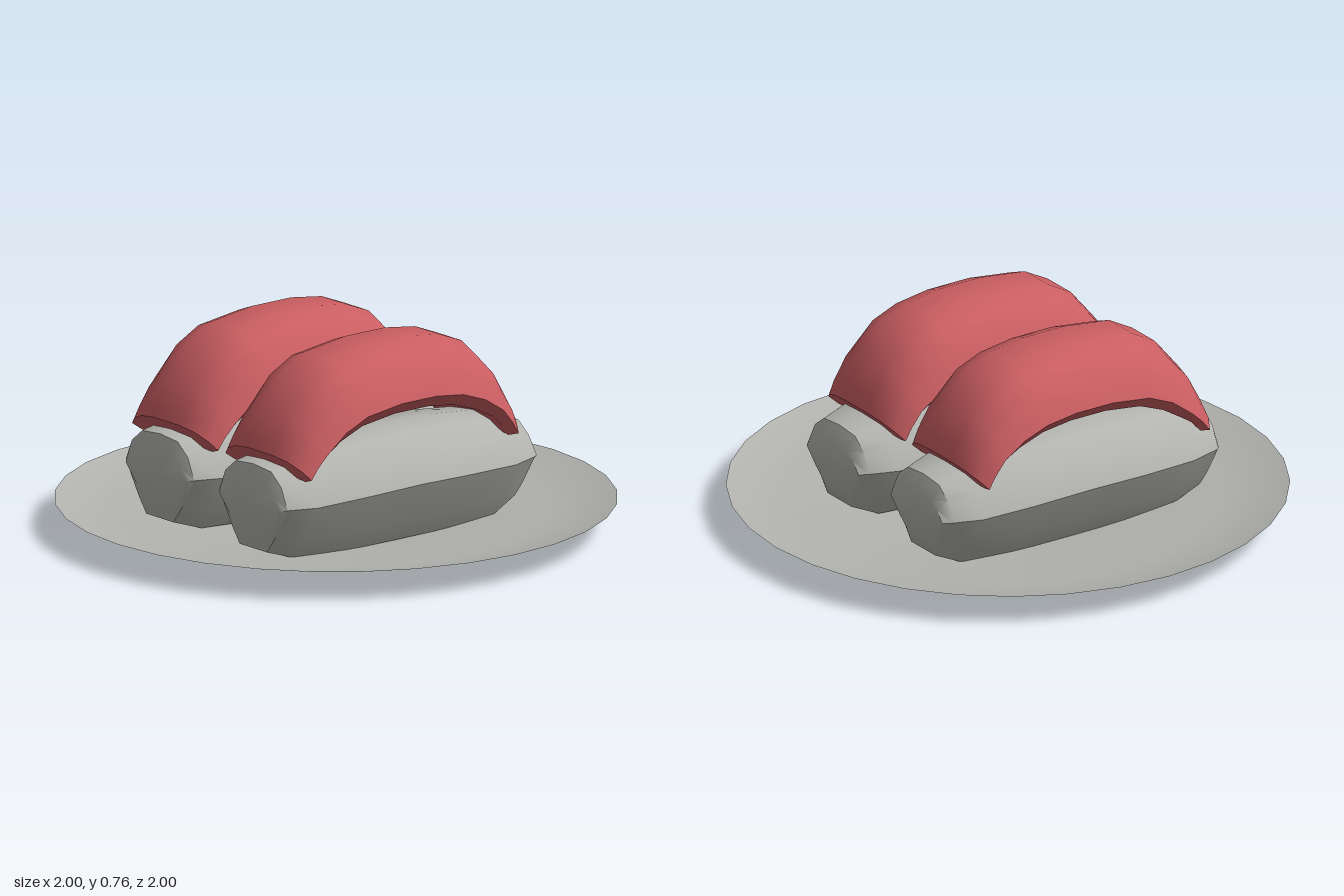
import * as THREE from 'three';
import { toCreasedNormals } from 'three/addons/utils/BufferGeometryUtils.js';

const riceWhite = new THREE.MeshStandardMaterial({ color: 0xb4b4b0 });
const plateGrey = new THREE.MeshStandardMaterial({ color: 0xb2b2af, side: THREE.DoubleSide });
const fishRed = new THREE.MeshStandardMaterial({ color: 0xca5e62 });

// Skin a list of rings (front to back, each anticlockwise seen from +z) and cap both ends
function loft(rings, crease) {
  const n = rings[0].length;
  const points = rings.flat();
  const index = [];
  for (let i = 0; i < rings.length - 1; i++) {
    for (let j = 0; j < n; j++) {
      const a = i * n + j, b = i * n + (j + 1) % n;
      index.push(a, a + n, b, b, a + n, b + n);
    }
  }
  [0, rings.length - 1].forEach((r, end) => {
    const centre = new THREE.Vector3();
    rings[r].forEach((p) => centre.addScaledVector(p, 1 / n));
    const c = points.push(centre) - 1;
    for (let j = 0; j < n; j++) {
      const a = r * n + j, b = r * n + (j + 1) % n;
      if (end === 0) index.push(c, a, b);
      else index.push(c, b, a);
    }
  });
  const geometry = new THREE.BufferGeometry().setFromPoints(points);
  geometry.setIndex(index);
  return toCreasedNormals(geometry, crease);
}

// Mirror the right half of a section into a full ring, bottom to top to bottom
const mirrored = (half) => [...half, ...half.map(([x, t]) => [-x, t]).reverse()];

// Rice block: z, half width, bottom, top
function riceGeometry() {
  const section = mirrored([[0.4, 0], [0.64, 0.2], [1, 0.57], [0.82, 0.82], [0.52, 0.97]]);
  section.splice(5, 0, [0, 1]);
  const stations = [
    [0.61, 0.165, 0.15, 0.33], [0.59, 0.19, 0.08, 0.39], [0.47, 0.215, 0.04, 0.41],
    [0.25, 0.235, 0.03, 0.43], [0.01, 0.24, 0.03, 0.44], [-0.23, 0.235, 0.03, 0.43],
    [-0.44, 0.215, 0.04, 0.41], [-0.55, 0.185, 0.09, 0.38], [-0.58, 0.16, 0.16, 0.32],
  ];
  return loft(stations.map(([z, w, low, high]) => section.map(([x, t]) =>
    new THREE.Vector3(x * w, low + t * (high - low), z))), 0.75);
}

// Fish slice: an arched slab, each station running from its lower edge (z, y) to its top (z, y)
function fishGeometry() {
  const section = mirrored([[0.195, 0], [0.24, 0.2], [0.205, 0.57], [0.145, 0.87], [0.07, 1]]);
  section.push([0, 0.3]);
  const stations = [
    [0.51, 0.35, 0.56, 0.43], [0.475, 0.39, 0.545, 0.47], [0.43, 0.42, 0.5, 0.56],
    [0.35, 0.47, 0.4, 0.68], [0.25, 0.51, 0.3, 0.735], [0.1, 0.53, 0.11, 0.76],
    [-0.05, 0.53, -0.07, 0.76], [-0.17, 0.515, -0.21, 0.74], [-0.27, 0.48, -0.31, 0.7],
    [-0.35, 0.44, -0.4, 0.6], [-0.39, 0.4, -0.46, 0.49], [-0.42, 0.36, -0.475, 0.43],
  ];
  return loft(stations.map(([z0, y0, z1, y1]) => section.map(([x, t]) =>
    new THREE.Vector3(x, y0 + t * (y1 - y0), z0 + t * (z1 - z0)))), 0.9);
}

function addMesh(parent, name, geometry, material) {
  const mesh = new THREE.Mesh(geometry, material);
  mesh.name = name;
  parent.add(mesh);
}

export function createModel() {
  const model = new THREE.Group();
  model.name = 'sushiPlate';

  // Thin shallow dish
  const profile = [[0, 0], [0.77, 0.06], [0.92, 0.087], [1, 0.11]].map(([r, y]) => new THREE.Vector2(r, y));
  addMesh(model, 'plate', new THREE.LatheGeometry(profile, 32), plateGrey);

  // Two identical pieces side by side
  const rice = riceGeometry();
  const fish = fishGeometry();
  [['rightSushi', -0.265], ['leftSushi', 0.255]].forEach(([name, x]) => {
    const piece = new THREE.Group();
    piece.name = name;
    piece.position.x = x;
    addMesh(piece, 'rice', rice, riceWhite);
    addMesh(piece, 'fishSlice', fish, fishRed);
    model.add(piece);
  });
  return model;
}
